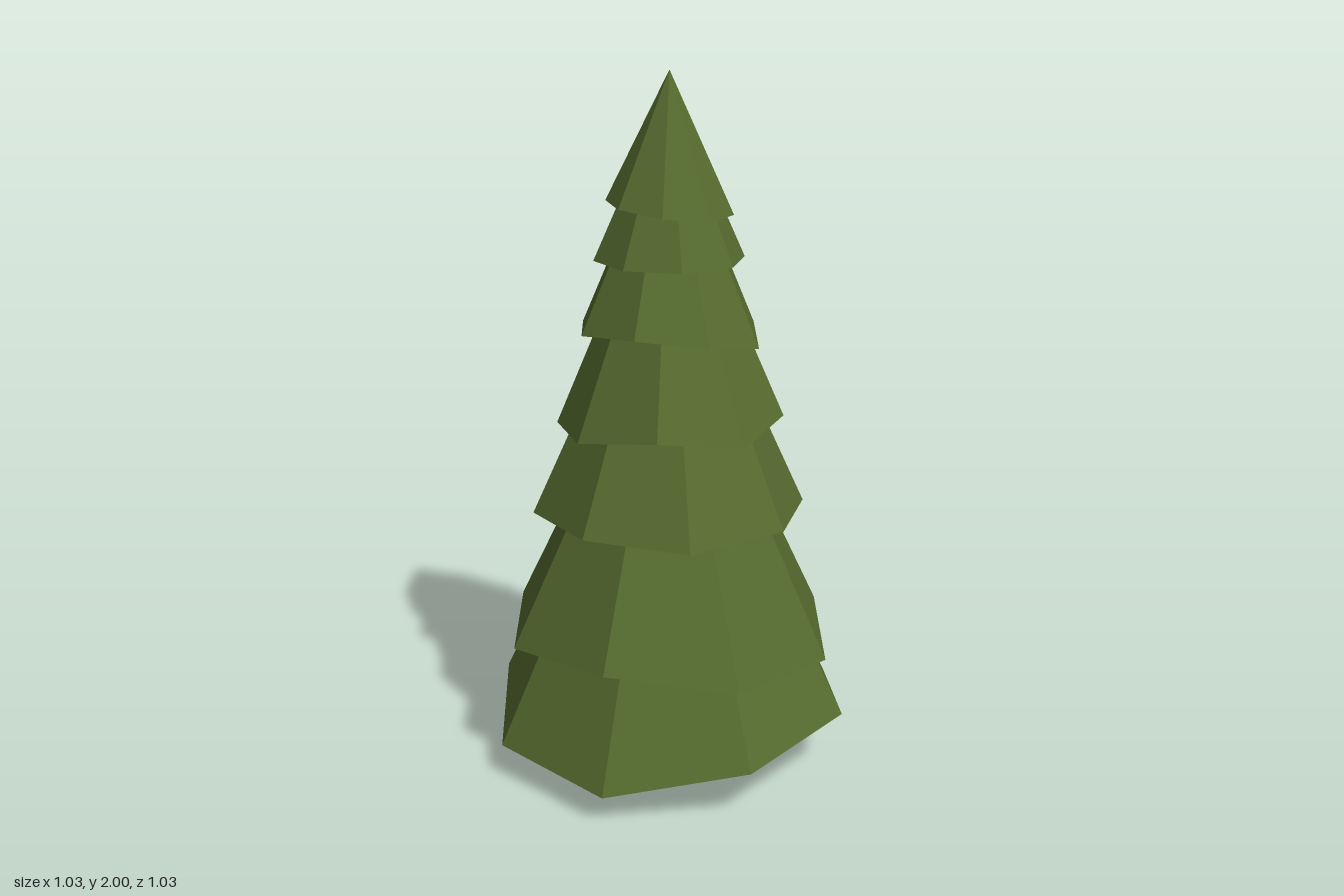
import * as THREE from 'three';

const rad = THREE.MathUtils.degToRad;

// One ring of branches: an eight-sided cone with an uneven rim and a hollow underside.
function tierGeometry(radius, turn, apexY, rim) {
  const n = rim.length;
  const mean = rim.reduce((sum, y) => sum + y, 0) / n;
  const apex = [0, apexY, 0];
  const hollow = [0, mean + radius * 0.26, 0];
  const points = rim.map((y, i) => {
    const a = rad(turn + (i * 360) / n);
    return [radius * Math.cos(a), y, radius * Math.sin(a)];
  });
  const positions = [];
  points.forEach((p, i) => {
    const q = points[(i + 1) % n];
    positions.push(...apex, ...q, ...p); // slope
    positions.push(...hollow, ...p, ...q); // underside
  });
  const geometry = new THREE.BufferGeometry();
  geometry.setAttribute('position', new THREE.Float32BufferAttribute(positions, 3));
  geometry.computeVertexNormals();
  return geometry;
}

export function createModel() {
  const tree = new THREE.Group();
  tree.name = 'pineTree';

  const needles = new THREE.MeshStandardMaterial({ color: 0x556b2f, flatShading: true });
  needles.name = 'needleGreen';
  const bark = new THREE.MeshStandardMaterial({ color: 0x75492f, flatShading: true });
  bark.name = 'barkBrown';

  // Square, slightly tapered trunk
  const trunk = new THREE.Mesh(
    new THREE.CylinderGeometry(0.1, 0.125, 0.34, 4, 1, false, rad(-16)), bark);
  trunk.position.y = 0.17;
  trunk.name = 'trunk';
  tree.add(trunk);

  // Branch tiers from bottom to top: radius, turn in degrees, apex height, rim heights
  const tiers = [
    [0.533, 14.4, 1.25, [0.18, 0.15, 0.085, 0.10, 0.165, 0.125, 0.155, 0.125]],
    [0.483, 16, 1.38, [0.35, 0.37, 0.425, 0.39, 0.41, 0.37, 0.35, 0.39]],
    [0.395, -14, 1.62, [0.755, 0.765, 0.755, 0.77, 0.755, 0.76, 0.715, 0.75]],
    [0.325, 0, 1.78, [1.04, 1.01, 1.045, 1.01, 1.0, 1.02, 1.04, 1.0]],
    [0.265, 15, 1.88, [1.25, 1.285, 1.31, 1.29, 1.285, 1.26, 1.285, 1.28]],
    [0.213, 30, 1.96, [1.485, 1.485, 1.485, 1.485, 1.485, 1.48, 1.485, 1.485]],
    [0.178, 0, 2.0, [1.61, 1.61, 1.625, 1.64, 1.645, 1.65, 1.645, 1.62]],
  ];
  tiers.forEach((tier, i) => {
    const mesh = new THREE.Mesh(tierGeometry(...tier), needles);
    mesh.name = `branchTier${i + 1}`;
    tree.add(mesh);
  });

  return tree;
}
